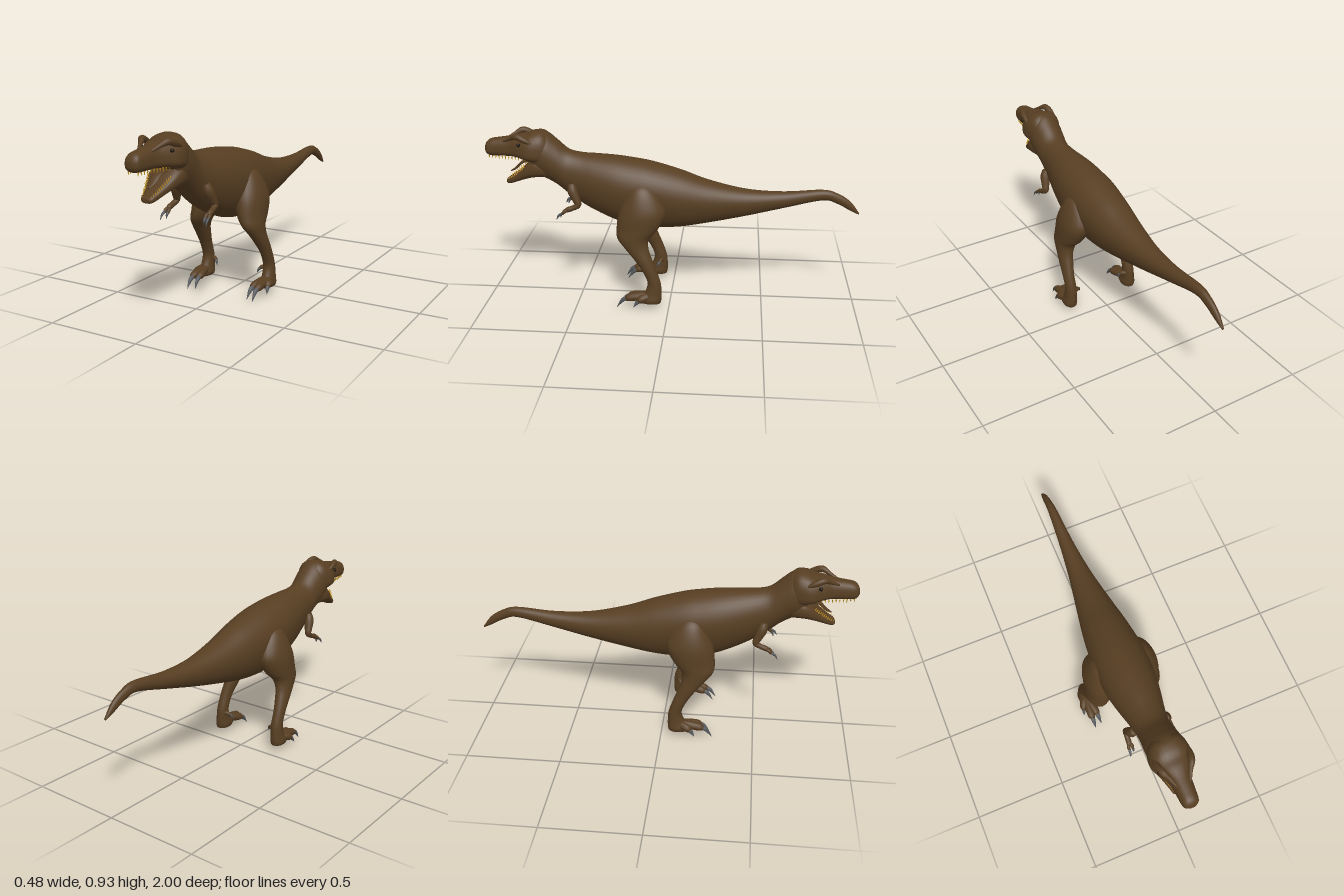
import * as THREE from 'three';

const mat = (name, color) => Object.assign(new THREE.MeshStandardMaterial({ color }), { name });

// Catmull-Rom between rows of numbers
function sample(rows, s) {
  const n = rows.length - 1;
  const i = Math.min(Math.floor(s), n - 1), t = s - i;
  const [p0, p1, p2, p3] = [rows[Math.max(i - 1, 0)], rows[i], rows[i + 1], rows[Math.min(i + 2, n)]];
  return p1.map((b, k) => {
    const a = p0[k], c = p2[k], d = p3[k];
    return 0.5 * (2 * b + (c - a) * t + (2 * a - 5 * b + 4 * c - d) * t * t + (3 * b - a - 3 * c + d) * t * t * t);
  });
}

// Skin over stations [x, y, z, halfWidth, up, down]; rings face `axis`, or the path if none is given
function loft(rows, { axis = null, power = 2, sides = 20, steps = 5 } = {}) {
  rows = rows.map(r => r.length === 4 ? [...r, r[3], r[3]] : r);
  const count = (rows.length - 1) * steps;
  const rings = [];
  for (let i = 0; i <= count; i++) rings.push(sample(rows, i / steps));
  const pos = [], idx = [];
  const point = r => new THREE.Vector3(r[0], r[1], r[2]);
  const round = v => Math.sign(v) * Math.pow(Math.abs(v), 2 / power);
  rings.forEach((r, i) => {
    const t = axis ? axis.clone()
      : point(rings[Math.min(i + 1, count)]).sub(point(rings[Math.max(i - 1, 0)])).normalize();
    const right = new THREE.Vector3(1, 0, 0).addScaledVector(t, -t.x).normalize();
    const up = t.clone().cross(right);
    for (let j = 0; j < sides; j++) {
      const a = j / sides * Math.PI * 2, s = round(Math.sin(a));
      const p = point(r).addScaledVector(right, round(Math.cos(a)) * Math.max(r[3], 0.0005))
        .addScaledVector(up, s * Math.max(s > 0 ? r[4] : r[5], 0.0005));
      pos.push(p.x, p.y, p.z);
    }
  });
  for (let i = 0; i < count; i++) for (let j = 0; j < sides; j++) {
    const k = (j + 1) % sides, a = i * sides + j, b = i * sides + k;
    idx.push(a, b, b + sides, a, b + sides, a + sides);
  }
  const start = pos.length / 3, last = count * sides;
  pos.push(...rings[0].slice(0, 3), ...rings[count].slice(0, 3));
  for (let j = 0; j < sides; j++) {
    const k = (j + 1) % sides;
    idx.push(start, k, j, start + 1, last + j, last + k);
  }
  const g = new THREE.BufferGeometry();
  g.setAttribute('position', new THREE.Float32BufferAttribute(pos, 3));
  g.setIndex(idx);
  g.computeVertexNormals();
  return g;
}

export function createModel() {
  const model = new THREE.Group();
  model.name = 'dinosaur';
  const hide = mat('brown hide', 0x573e22), claw = mat('grey claw', 0x55585c);
  const tooth = mat('golden tooth', 0xc8961e), eyeColor = mat('dark eye', 0x1c140c);
  const Z = new THREE.Vector3(0, 0, 1), DOWN = new THREE.Vector3(0, -1, 0);
  const add = (parent, name, geometry, material = hide) => {
    const m = new THREE.Mesh(geometry, material);
    m.name = name;
    parent.add(m);
    return m;
  };

  // Tail, trunk and neck: [z, top, bottom, halfWidth, height of widest point]
  const trunk = [
    [-1, 0.512, 0.502, 0.006, 0.507], [-0.95, 0.575, 0.525, 0.015, 0.55], [-0.88, 0.618, 0.562, 0.02, 0.59],
    [-0.8, 0.636, 0.578, 0.025, 0.607], [-0.6, 0.62, 0.53, 0.04, 0.575], [-0.4, 0.628, 0.48, 0.065, 0.56],
    [-0.2, 0.672, 0.437, 0.1, 0.565], [-0.05, 0.725, 0.41, 0.125, 0.58], [0.1, 0.767, 0.4, 0.14, 0.61],
    [0.2, 0.785, 0.41, 0.142, 0.62], [0.3, 0.798, 0.44, 0.135, 0.635], [0.4, 0.805, 0.485, 0.117, 0.655],
    [0.48, 0.81, 0.53, 0.099, 0.675], [0.55, 0.828, 0.58, 0.088, 0.7], [0.61, 0.878, 0.63, 0.09, 0.745],
    [0.66, 0.918, 0.66, 0.095, 0.78], [0.7, 0.926, 0.676, 0.093, 0.795], [0.74, 0.89, 0.69, 0.075, 0.79],
  ];
  add(model, 'body and tail', loft(
    trunk.map(([z, top, low, w, mid]) => [0, mid, z, w, top - mid, mid - low]), { axis: Z, sides: 36 }));

  // Skull with the upper jaw, and the open lower jaw
  add(model, 'upper head', loft([
    [0, 0.81, 0.64, 0.07, 0.08, 0.05], [0, 0.81, 0.68, 0.094, 0.116, 0.06], [0, 0.81, 0.73, 0.105, 0.115, 0.05],
    [0, 0.81, 0.77, 0.101, 0.1, 0.038], [0, 0.815, 0.81, 0.08, 0.09, 0.033], [0, 0.82, 0.86, 0.055, 0.073, 0.035],
    [0, 0.822, 0.92, 0.047, 0.062, 0.037], [0, 0.823, 0.965, 0.043, 0.053, 0.038],
    [0, 0.823, 0.988, 0.035, 0.038, 0.03], [0, 0.823, 1, 0.014, 0.015, 0.014],
  ], { axis: Z, power: 2.5, sides: 32 }));
  add(model, 'lower jaw', loft([
    [0, 0.73, 0.66, 0.08, 0.05, 0.055], [0, 0.73, 0.71, 0.09, 0.06, 0.053], [0, 0.718, 0.755, 0.083, 0.045, 0.048],
    [0, 0.69, 0.805, 0.062, 0.025, 0.036], [0, 0.661, 0.855, 0.042, 0.018, 0.026],
    [0, 0.648, 0.882, 0.033, 0.014, 0.018], [0, 0.645, 0.892, 0.02, 0.007, 0.008],
  ], { axis: Z, power: 2.7, sides: 28 }));
  add(model, 'tongue', loft([
    [0, 0.765, 0.74, 0.03, 0.008, 0.008], [0, 0.75, 0.8, 0.026, 0.007, 0.007],
    [0, 0.715, 0.84, 0.018, 0.006, 0.006], [0, 0.697, 0.87, 0.005, 0.003, 0.003],
  ], { sides: 12 }));

  for (const [side, s] of [['left', 1], ['right', -1]]) {
    const flip = rows => rows.map(([x, ...rest]) => [s * x, ...rest]);
    const limb = (parent, name, rows, options, material) => add(parent, name, loft(flip(rows), options), material);

    // Brow ridge and eye
    limb(model, side + ' brow ridge', [
      [0.086, 0.875, 0.73, 0.008], [0.083, 0.893, 0.77, 0.016], [0.073, 0.907, 0.81, 0.017],
      [0.054, 0.892, 0.845, 0.011], [0.035, 0.87, 0.89, 0.006],
    ], { sides: 12 });
    const eye = add(model, side + ' eye', new THREE.SphereGeometry(0.01, 12, 8), eyeColor);
    eye.position.set(s * 0.084, 0.865, 0.797);

    // Teeth along both jaws
    const teeth = new THREE.Group();
    teeth.name = side + ' teeth';
    model.add(teeth);
    for (let i = 0; i < 11; i++) {
      const f = i / 10, size = 0.016 + 0.007 * (i % 3) / 2;
      const upper = add(teeth, 'upper tooth', new THREE.ConeGeometry(0.004, size, 6), tooth);
      upper.position.set(s * (0.06 - 0.034 * f), 0.781, 0.79 + 0.185 * f);
      upper.rotation.x = Math.PI;
      const lower = add(teeth, 'lower tooth', new THREE.ConeGeometry(0.004, size, 6), tooth);
      lower.position.set(s * (0.061 - 0.035 * f), 0.742 - 0.083 * f, 0.785 + 0.097 * f);
      lower.rotation.x = 0.4;
    }

    // Small arm with two clawed fingers
    const arm = new THREE.Group();
    arm.name = side + ' arm';
    model.add(arm);
    limb(arm, 'arm', [
      [0.085, 0.66, 0.525, 0.02], [0.095, 0.625, 0.518, 0.027], [0.105, 0.585, 0.5, 0.022],
      [0.112, 0.553, 0.488, 0.017], [0.115, 0.537, 0.512, 0.014], [0.118, 0.525, 0.545, 0.014],
      [0.118, 0.518, 0.558, 0.007],
    ], { sides: 14 });
    for (const [x, tx, ty, tz] of [[0.108, 0.108, 0.475, 0.585], [0.127, 0.132, 0.47, 0.605]]) {
      limb(arm, 'finger', [[0.117, 0.526, 0.54, 0.008], [x, 0.517, 0.56, 0.009], [x, 0.503, 0.573, 0.007]], { sides: 10 });
      limb(arm, 'finger claw', [[x, 0.508, 0.569, 0.007], [(x + tx) / 2, 0.495, (0.577 + tz) / 2, 0.006],
        [tx, ty, tz, 0.0005]], { sides: 8 }, claw);
    }

    // Leg from the hip to the heel
    const leg = new THREE.Group();
    leg.name = side + ' leg';
    model.add(leg);
    limb(leg, 'thigh and shin', [
      [0.095, 0.68, 0.15, 0.025, 0.03, 0.03], [0.1, 0.65, 0.15, 0.055, 0.065, 0.07],
      [0.11, 0.59, 0.15, 0.075, 0.095, 0.11], [0.125, 0.52, 0.15, 0.079, 0.12, 0.13],
      [0.14, 0.44, 0.16, 0.068, 0.12, 0.1], [0.157, 0.39, 0.18, 0.053, 0.095, 0.075],
      [0.171, 0.34, 0.17, 0.041, 0.065, 0.062], [0.181, 0.28, 0.138, 0.036, 0.046, 0.05],
      [0.188, 0.22, 0.105, 0.031, 0.037, 0.04], [0.19, 0.15, 0.078, 0.031, 0.034, 0.036],
      [0.192, 0.09, 0.08, 0.034, 0.05, 0.043], [0.193, 0.055, 0.085, 0.039, 0.075, 0.047],
      [0.193, 0.036, 0.085, 0.034, 0.068, 0.043],
    ], { axis: DOWN, sides: 28 });

    // Three toes with claws
    for (const [x, z, tx, ty, tz] of [[0.222, 0.148, 0.236, 0.02, 0.185], [0.2, 0.212, 0.2, 0, 0.28], [0.168, 0.2, 0.16, 0.002, 0.265]]) {
      limb(leg, 'toe', [[0.193, 0.075, 0.09, 0.02], [(0.193 + x) / 2, 0.07, (0.09 + z) / 2, 0.023],
        [x, 0.06, z, 0.021], [x, 0.048, z + 0.015, 0.012]], { sides: 14 });
      limb(leg, 'toe claw', [[x, 0.06, z, 0.014], [(x + tx) / 2, 0.046, z * 0.5 + tz * 0.5, 0.011],
        [tx, ty, tz, 0.0005]], { sides: 10 }, claw);
    }
    // Raised inner toe
    limb(leg, 'inner toe', [[0.178, 0.122, 0.065, 0.014], [0.155, 0.128, 0.072, 0.012], [0.138, 0.12, 0.08, 0.009]], { sides: 12 });
    limb(leg, 'inner toe claw', [[0.143, 0.123, 0.078, 0.009], [0.132, 0.112, 0.086, 0.007], [0.126, 0.093, 0.092, 0.0005]], { sides: 8 }, claw);
  }
  return model;
}
